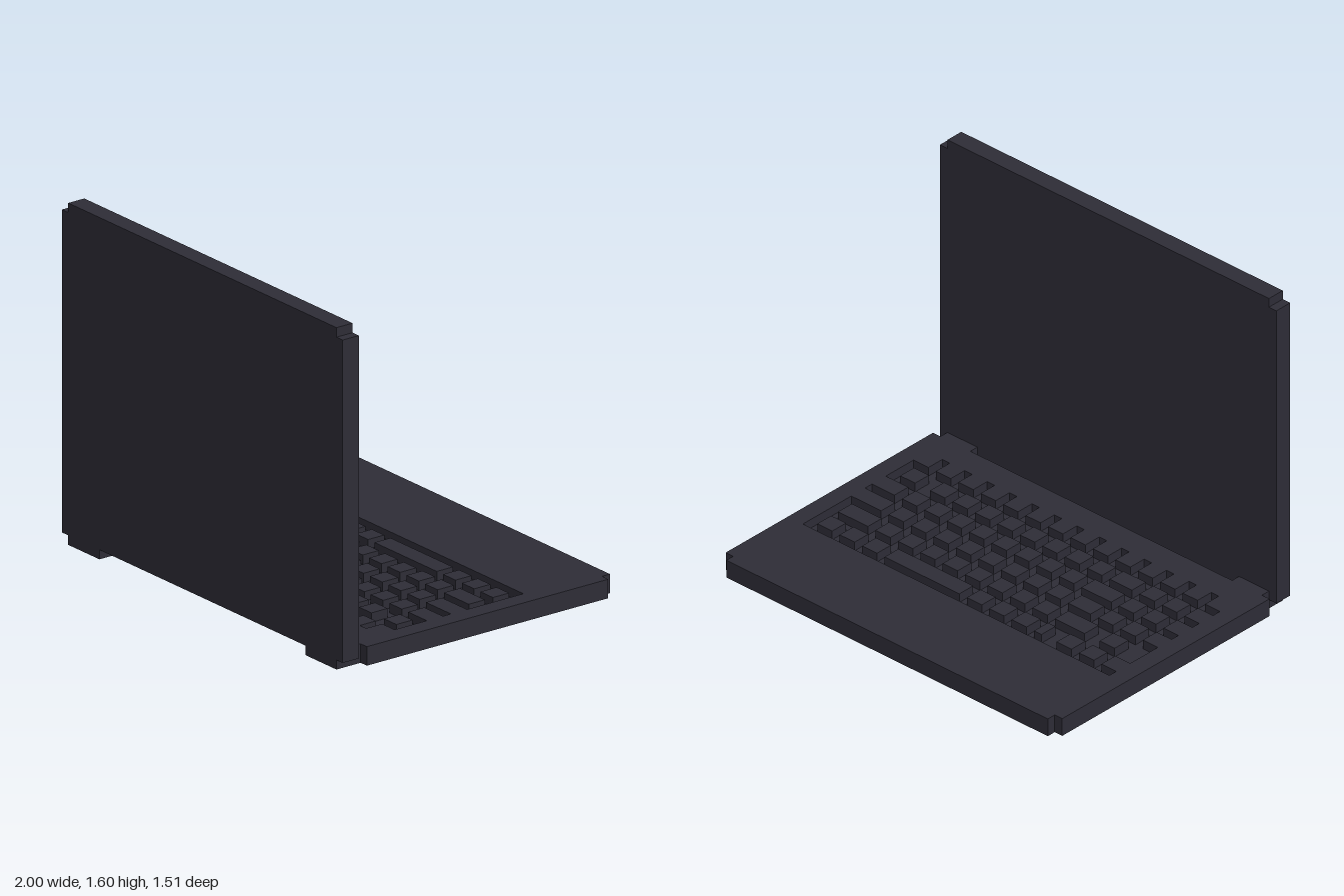
import * as THREE from 'three';

// Everything sits on a block grid 45 wide, 36 high and 34 deep.
const U = 2 / 45;
const body = new THREE.MeshStandardMaterial({ color: 0x2e2d37 });
body.name = 'dark slate';

// Box between grid coordinates; x from 0..45, y from 0..36, z from 0..34.
function block(parent, name, x0, x1, y0, y1, z0, z1) {
  const geo = new THREE.BoxGeometry((x1 - x0) * U, (y1 - y0) * U, (z1 - z0) * U);
  const mesh = new THREE.Mesh(geo, body);
  mesh.position.set(((x0 + x1) / 2 - 22.5) * U, ((y0 + y1) / 2) * U, ((z0 + z1) / 2 - 17) * U);
  mesh.name = name;
  parent.add(mesh);
}

function part(parent, name) {
  const g = new THREE.Group();
  g.name = name;
  parent.add(g);
  return g;
}

// Evenly spaced two-block keys from column a to column b.
function run(a, b) {
  const keys = [];
  for (let x = a; x <= b; x += 3) keys.push([x, x + 2]);
  return keys;
}

export function createModel() {
  const model = new THREE.Group();
  model.name = 'laptop';

  // Base: floor slab with a raised deck around the keyboard well
  const base = part(model, 'base');
  block(base, 'baseSlab', 0, 45, 0, 1, 1, 31);
  block(base, 'frontEdge', 1, 44, 0, 2, 0, 1);
  block(base, 'palmRest', 0, 45, 1, 2, 1, 10);
  block(base, 'rearDeck', 0, 45, 1, 2, 28, 31);
  block(base, 'deckSideRight', 0, 2, 1, 2, 10, 28);
  block(base, 'deckSideLeft', 43, 45, 1, 2, 10, 28);

  // Keyboard: key rows flush with the deck, separated by one-block grooves
  const keyboard = part(model, 'keyboard');
  const rows = [
    [[2, 4], ...run(5, 8), [12, 13], ...run(14, 20), [23, 33], ...run(34, 40)],
    [[5, 7], [9, 13], ...run(14, 35), [38, 42]],
    [[2, 4], ...run(5, 8), [11, 14], ...run(15, 36), [39, 43]],
    [[2, 4], ...run(5, 8), [11, 15], ...run(16, 37), [40, 43]],
    [[2, 4], ...run(5, 8), [11, 14], ...run(15, 36), [40, 42]],
    [[2, 4], ...run(5, 38), [41, 43]],
  ];
  rows.forEach((keys, r) => {
    const z = 11 + r * 3;
    keys.forEach(([a, b]) => block(keyboard, 'key', a, b, 1, 2, z, z + 2));
  });

  // Lid standing upright, with a notched top edge
  const lid = part(model, 'lid');
  block(lid, 'lidPanel', 0, 45, 1, 35, 32, 34);
  block(lid, 'lidTopEdge', 1, 44, 35, 36, 32, 34);

  // Hinges: a bridge from the base and a foot under the lid on each side
  for (const left of [false, true]) {
    const hinge = part(model, left ? 'hingeLeft' : 'hingeRight');
    const span = (a, b) => (left ? [45 - b, 45 - a] : [a, b]);
    block(hinge, 'hingeBridge', ...span(1, 5), 0, 2, 31, 32);
    block(hinge, 'hingeFoot', ...span(1, 6), 0, 1, 32, 34);
  }
  return model;
}
